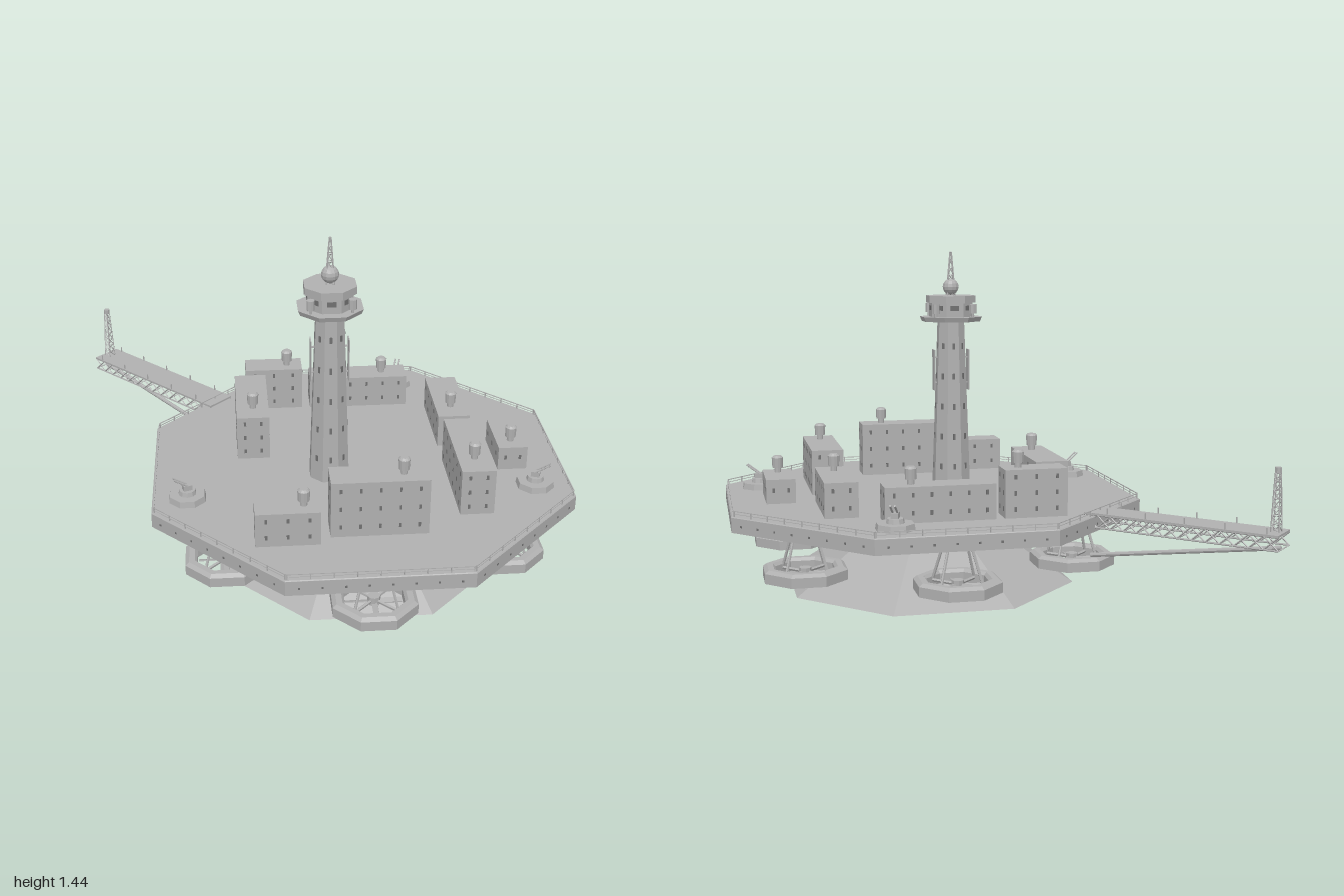
import * as THREE from 'three';

const steel = new THREE.MeshStandardMaterial({ color: 0xb0b0b0, flatShading: true });
steel.name = 'steel grey';
const glass = new THREE.MeshStandardMaterial({ color: 0x707070, flatShading: true });
glass.name = 'window grey';

const CX = 0.16, CZ = 0.16, DECK = 0.42;
const V = (x, y, z) => new THREE.Vector3(x, y, z);

function add(parent, name, geo, x = 0, y = 0, z = 0, mat = steel) {
  const m = new THREE.Mesh(geo, mat);
  m.name = name;
  m.position.set(x, y, z);
  parent.add(m);
  return m;
}
function group(parent, name, x = 0, y = 0, z = 0) {
  const g = new THREE.Group();
  g.name = name;
  g.position.set(x, y, z);
  parent.add(g);
  return g;
}
const box = (w, h, d) => new THREE.BoxGeometry(w, h, d);
// Octagonal frustum measured across its flats, standing on its base
function octagon(top, bottom, h) {
  const k = Math.cos(Math.PI / 8);
  return new THREE.CylinderGeometry(top / k, bottom / k, h, 8).rotateY(Math.PI / 8).translate(0, h / 2, 0);
}
// Round bar between two points
function bar(parent, name, a, b, r, sides = 5) {
  const m = add(parent, name, new THREE.CylinderGeometry(r, r, a.distanceTo(b), sides));
  m.position.copy(a).add(b).multiplyScalar(0.5);
  m.quaternion.setFromUnitVectors(V(0, 1, 0), b.clone().sub(a).normalize());
  return m;
}
// Four-legged tapering lattice mast
function lattice(parent, name, x, y, z, h, r0, r1, bays) {
  const g = group(parent, name, x, y, z);
  const corner = (i, t) => {
    const r = r0 + (r1 - r0) * t, a = Math.PI / 4 + i * Math.PI / 2;
    return V(r * Math.cos(a), h * t, r * Math.sin(a));
  };
  for (let i = 0; i < 4; i++) {
    bar(g, 'mastLeg', corner(i, 0), corner(i, 1), 0.0025, 4);
    for (let b = 0; b < bays; b++) {
      bar(g, 'mastBrace', corner(i, b / bays), corner(i + 1, (b + 1) / bays), 0.0017, 4);
      bar(g, 'mastRung', corner(i, (b + 1) / bays), corner(i + 1, (b + 1) / bays), 0.0017, 4);
    }
  }
  return g;
}

function buildDeck(root) {
  add(root, 'deck', octagon(0.84, 0.84, 0.06), CX, 0.357, CZ);
  add(root, 'deckRim', octagon(0.836, 0.84, 0.005), CX, 0.415, CZ);
  add(root, 'hull', octagon(0.14, 0.583, 0.31), CX, 0.05, CZ);
  add(root, 'keel', octagon(0.11, 0.18, 0.05), CX, 0, CZ);
  // Railing and portholes on each of the eight edges
  for (let i = 0; i < 8; i++) {
    const edge = group(root, 'railing', CX, DECK, CZ);
    edge.rotation.y = i * Math.PI / 4;
    const half = 0.34;
    add(edge, 'handrail', box(half * 2, 0.003, 0.004), 0, 0.022, 0.83);
    add(edge, 'middleRail', box(half * 2, 0.002, 0.003), 0, 0.011, 0.83);
    for (let k = 0; k <= 8; k++) {
      const x = -half + k * half / 4;
      add(edge, 'railPost', box(0.004, 0.024, 0.004), x, 0.012, 0.83);
      if (k < 8) add(edge, 'porthole', box(0.008, 0.008, 0.003), x + half / 8, -0.034, 0.84, glass);
    }
  }
}

// Octagonal lift ring with rotor and leaning struts
function buildLiftRing(root, angle) {
  const g = group(root, 'liftRing', CX + 0.64 * Math.sin(angle), 0, CZ + 0.64 * Math.cos(angle));
  const k = 1 / Math.cos(Math.PI / 8);
  const profile = [[0.115, 0.155], [0.163, 0.155], [0.163, 0.195], [0.148, 0.207], [0.125, 0.207], [0.115, 0.195], [0.115, 0.155]]
    .map(([r, y]) => new THREE.Vector2(r * k, y));
  add(g, 'ring', new THREE.LatheGeometry(profile, 8, Math.PI / 8));
  add(g, 'hub', new THREE.CylinderGeometry(0.025, 0.025, 0.035, 8), 0, 0.18, 0);
  for (let i = 0; i < 4; i++) {
    const a = Math.PI / 4 + i * Math.PI / 2, c = Math.cos(a), s = Math.sin(a);
    bar(g, 'spoke', V(0.02 * c, 0.18, 0.02 * s), V(0.122 * c, 0.18, 0.122 * s), 0.007);
    bar(g, 'strut', V(0.115 * c, 0.19, 0.115 * s), V(0.055 * c, 0.36, 0.055 * s), 0.006, 6);
    const blade = add(g, 'rotorBlade', box(0.1, 0.004, 0.022).rotateX(0.35).translate(0.06, 0, 0), 0, 0.172, 0);
    blade.rotation.y = i * Math.PI / 2;
  }
}

// Block with window rows and a roof vent
function buildBlock(root, [x0, x1, z0, z1, top, vx, vz]) {
  const w = x1 - x0, d = z1 - z0, h = top - DECK;
  const g = group(root, 'building', (x0 + x1) / 2, DECK, (z0 + z1) / 2);
  add(g, 'walls', box(w, h, d), 0, h / 2, 0);
  const rows = Math.max(1, Math.floor(h / 0.06));
  for (let side = 0; side < 4; side++) {
    const face = group(g, 'windows');
    face.rotation.y = side * Math.PI / 2;
    const len = side % 2 ? d : w, off = (side % 2 ? w : d) / 2;
    const cols = Math.max(1, Math.round(len / 0.075));
    for (let r = 0; r < rows; r++) for (let c = 0; c < cols; c++)
      add(face, 'window', box(0.01, 0.018, 0.003), ((c + 0.5) / cols - 0.5) * len, (r + 0.55) * h / rows, off, glass);
  }
  const v = group(root, 'roofVent', vx, top, vz);
  add(v, 'ventNeck', new THREE.CylinderGeometry(0.014, 0.014, 0.025, 10), 0, 0.0125, 0);
  add(v, 'ventDrum', new THREE.CylinderGeometry(0.024, 0.022, 0.042, 12), 0, 0.041, 0);
  add(v, 'ventCap', new THREE.CylinderGeometry(0.016, 0.024, 0.008, 12), 0, 0.066, 0);
}

// Twin-barrelled turret, facing away from the deck centre
function buildTurret(root, x, z) {
  const g = group(root, 'turret', x, DECK, z);
  add(g, 'turretBase', octagon(0.068, 0.072, 0.025));
  const gun = group(g, 'gunMount', 0, 0.025, 0);
  gun.rotation.y = Math.atan2(x - CX, z - CZ);
  add(gun, 'turntable', new THREE.CylinderGeometry(0.032, 0.036, 0.018, 10), 0, 0.009, 0);
  add(gun, 'gunBody', box(0.028, 0.022, 0.035), 0, 0.028, 0);
  for (const s of [-1, 1])
    bar(gun, 'barrel', V(s * 0.009, 0.03, -0.01), V(s * 0.009, 0.075, 0.055), 0.004, 6);
}

function buildTower(root) {
  const g = group(root, 'tower', 0.035, 0, 0.25);
  add(g, 'shaft', octagon(0.054, 0.078, 0.73), 0, DECK, 0);
  add(g, 'balcony', octagon(0.126, 0.118, 0.02), 0, 1.145, 0);
  add(g, 'cabin', octagon(0.088, 0.088, 0.06), 0, 1.165, 0);
  add(g, 'cabinRoof', octagon(0.1, 0.1, 0.03), 0, 1.225, 0);
  for (let i = 0; i < 8; i++) {
    const side = group(g, 'towerSide');
    side.rotation.y = i * Math.PI / 4;
    add(side, 'cabinWindow', box(0.036, 0.02, 0.004), 0, 1.203, 0.088, glass);
    for (let k = 0; k < 5; k++) {
      const y = 0.52 + k * 0.13;
      add(side, 'shaftWindow', box(0.01, 0.025, 0.006), 0, y, 0.078 - 0.024 * (y - DECK) / 0.73, glass);
    }
  }
  // Lamps around the cabin
  for (const sx of [-1, 1]) for (const sz of [-1, 1]) {
    add(g, 'lamp', new THREE.CylinderGeometry(0.016, 0.016, 0.04, 8), sx * 0.08, 1.2, sz * 0.08);
    add(g, 'lampStand', new THREE.CylinderGeometry(0.006, 0.006, 0.02, 6), sx * 0.08, 1.172, sz * 0.08);
  }
  // Flat panels held off the shaft on both sides
  for (const s of [-1, 1]) {
    add(g, 'sidePanel', box(0.004, 0.175, 0.05), s * 0.075, 0.935, 0);
    for (const y of [0.88, 0.99]) add(g, 'panelBracket', box(0.025, 0.006, 0.006), s * 0.064, y, 0);
  }
  add(g, 'dome', new THREE.SphereGeometry(0.035, 12, 8), 0, 1.292, 0);
  lattice(g, 'towerMast', 0, 1.25, 0, 0.19, 0.024, 0.004, 6);
}

// Truss bridge reaching out over the back corner; local +z runs outward
function buildBridge(root) {
  const g = group(root, 'bridge', -0.4, 0, -0.4);
  g.rotation.y = -Math.PI * 0.75;
  const L = 0.785, W = 0.132, bays = 14, lo = 0.374, hi = 0.424;
  add(g, 'walkway', box(W, 0.008, L), 0, 0.428, L / 2);
  for (const s of [-1, 1]) {
    const x = s * (W / 2 - 0.005);
    bar(g, 'lowerChord', V(x, lo, 0), V(x, lo, L), 0.004);
    bar(g, 'upperChord', V(x, hi, 0), V(x, hi, L), 0.004);
    for (let i = 0; i < bays; i++) {
      const a = i * L / bays, b = (i + 1) * L / bays;
      bar(g, 'trussBrace', V(x, lo, a), V(x, hi, b), 0.003, 4);
      bar(g, 'trussBrace', V(x, hi, a), V(x, lo, b), 0.003, 4);
      if (s > 0) bar(g, 'crossBeam', V(-x, lo, b), V(x, lo, b), 0.003, 4);
    }
    for (let i = 0; i < 5; i++) add(g, 'bridgePost', box(0.004, 0.025, 0.004), x, 0.443, 0.1 + i * 0.16);
  }
  bar(g, 'bridgeStay', V(0, lo, L - 0.01), V(0, 0.245, 0), 0.009, 8);
  lattice(g, 'bridgeMast', 0, 0.43, L - 0.03, 0.22, 0.023, 0.012, 7);
  add(g, 'mastHead', new THREE.CylinderGeometry(0.013, 0.013, 0.02, 8), 0, 0.662, L - 0.03);
}

export function createModel() {
  const root = new THREE.Group();
  root.name = 'platform';
  buildDeck(root);
  for (let i = 0; i < 6; i++) buildLiftRing(root, i * Math.PI / 3);
  // x range, z range, roof height, vent position
  [
    [-0.285, -0.035, -0.45, -0.335, 0.61, -0.1, -0.39],
    [0, 0.435, -0.45, -0.33, 0.56, 0.325, -0.39],
    [-0.335, -0.2, -0.29, 0.11, 0.61, -0.265, -0.015 + 0.03],
    [0.515, 0.648, -0.305, 0.065, 0.56, 0.58, -0.03],
    [0.515, 0.648, 0.18, 0.61, 0.61, 0.58, 0.505],
    [0.73, 0.85, 0.03, 0.28, 0.52, 0.79, 0.215],
    [0, 0.375, 0.605, 0.73, 0.653, 0.28, 0.67],
    [-0.285, -0.04, 0.655, 0.775, 0.56, -0.1, 0.715],
  ].forEach((b) => buildBlock(root, b));
  [[-0.54, 0.41], [0.855, 0.41], [0.41, -0.54]].forEach(([x, z]) => buildTurret(root, x, z));
  buildTower(root);
  buildBridge(root);
  return root;
}
